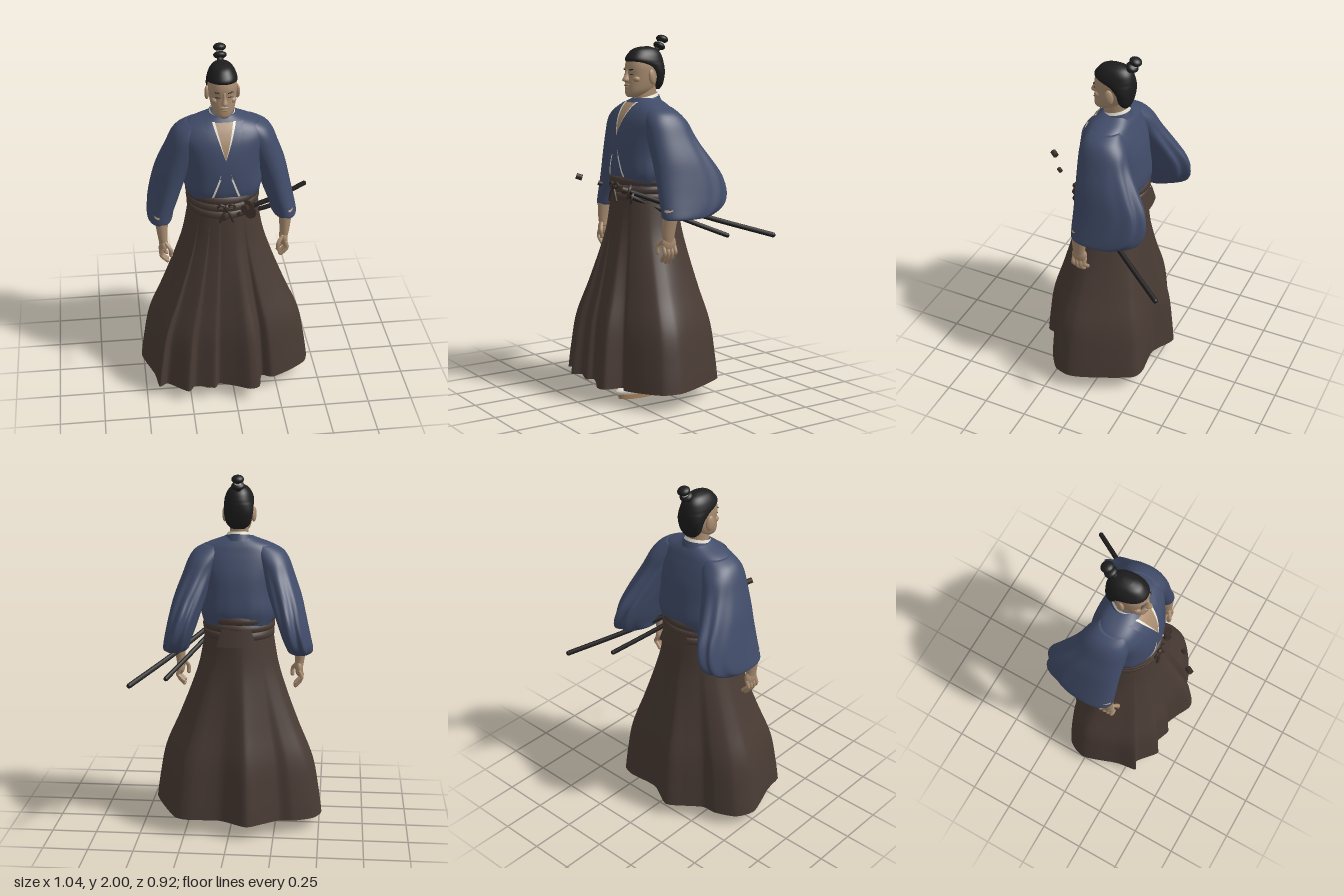
import * as THREE from 'three';
import { mergeVertices } from 'three/addons/utils/BufferGeometryUtils.js';

const CX = -0.035; // body centre line
const mat = (name, color, side = THREE.FrontSide) => {
  const m = new THREE.MeshStandardMaterial({ color, side });
  m.name = name;
  return m;
};

// Smooth surface from f(u, v) -> [x, y, z]; seams are welded
function grid(nu, nv, f) {
  const pos = [], idx = [], w = nu + 1;
  for (let j = 0; j <= nv; j++) for (let i = 0; i <= nu; i++) pos.push(...f(i / nu, j / nv));
  for (let j = 0; j < nv; j++) for (let i = 0; i < nu; i++) {
    const a = j * w + i;
    idx.push(a, a + w, a + 1, a + 1, a + w, a + w + 1);
  }
  let g = new THREE.BufferGeometry();
  g.setAttribute('position', new THREE.Float32BufferAttribute(pos, 3));
  g.setIndex(idx);
  g = mergeVertices(g, 1e-5);
  g.computeVertexNormals();
  return g;
}

// Piecewise Catmull-Rom through rows of numbers
function sample(rows, t) {
  const n = rows.length - 1, k = Math.min(Math.floor(t * n), n - 1), s = t * n - k;
  const at = (i) => rows[Math.max(0, Math.min(n, i))];
  return at(k).map((b, c) => {
    const a = at(k - 1)[c], d = at(k + 1)[c], e = at(k + 2)[c];
    return b + 0.5 * s * (d - a + s * (2 * a - 5 * b + 4 * d - e + s * (3 * (b - d) + e - a)));
  });
}

// Body from rings [y, xCentre, halfWidth, zFront, zBack], lowest first, ends closed
function loft(rings, { n = 2, nu = 40, sub = 4, ripple = null } = {}) {
  const rows = (rings.length - 1) * sub;
  return grid(nu, rows + 2, (u, v) => {
    const j = Math.round(v * (rows + 2)), end = j === 0 || j === rows + 2;
    const t = Math.max(0, Math.min(rows, j - 1)) / rows;
    const [y, xc, rx, zf, zb] = sample(rings, t);
    const a = (u === 1 ? 0 : u) * Math.PI * 2, c = Math.cos(a), s = Math.sin(a);
    const k = end ? 0 : ripple ? 1 + ripple(a, t) : 1;
    const pw = (q) => Math.sign(q) * Math.pow(Math.abs(q), 2 / n);
    return [xc + rx * k * pw(c), y, (zf + zb) / 2 + ((zf - zb) / 2) * k * pw(s)];
  });
}

const TORSO = [
  [1.16, CX, 0.18, 0.2, -0.135], [1.22, CX, 0.205, 0.215, -0.145], [1.27, CX, 0.212, 0.225, -0.15],
  [1.36, CX, 0.205, 0.225, -0.14], [1.45, CX, 0.215, 0.215, -0.125], [1.53, CX, 0.235, 0.195, -0.1],
  [1.58, CX, 0.225, 0.17, -0.08], [1.615, CX, 0.18, 0.145, -0.065], [1.645, CX, 0.1, 0.115, -0.045],
  [1.66, CX, 0.065, 0.1, -0.035],
];
const TORSO_N = 2.4;
function torsoZ(x, y) {
  let t = 0;
  while (t < 1 && sample(TORSO, t)[0] < y) t += 0.002;
  const [, xc, rx, zf, zb] = sample(TORSO, Math.min(t, 1));
  const q = Math.min(1, Math.abs((x - xc) / rx));
  return (zf + zb) / 2 + ((zf - zb) / 2) * Math.pow(1 - Math.pow(q, TORSO_N), 1 / TORSO_N);
}
// Strip laid on the chest between lower edge [y, x0, x1] and upper edge [y, x0, x1]
const drape = (lo, hi, off) => grid(8, 16, (u, v) => {
  const [y, a, b] = lo.map((q, i) => q + (hi[i] - q) * v);
  const x = CX + b + (a - b) * u;
  return [x, y, torsoZ(x, y) + off];
});

export function createModel() {
  const D = THREE.DoubleSide;
  const navy = mat('navy cloth', 0x414c69, D), brown = mat('brown cloth', 0x493b34, D);
  const dark = mat('dark brown cord', 0x3a2e28), skin = mat('skin', 0xa98c70, D);
  const white = mat('white cloth', 0xe4dfd2, D), hair = mat('black hair', 0x1d1d1e);
  const black = mat('black lacquer', 0x1f1c1d), straw = mat('straw', 0xa5835f);
  const model = new THREE.Group();
  const add = (name, geo, m, p = [0, 0, 0], s = [1, 1, 1], r = [0, 0, 0]) => {
    const mesh = new THREE.Mesh(geo, m);
    mesh.name = name;
    mesh.position.set(...p); mesh.scale.set(...s); mesh.rotation.set(...r);
    model.add(mesh);
    return mesh;
  };
  const ball = new THREE.SphereGeometry(1, 24, 16);
  const V = (p) => new THREE.Vector3(...p);
  const tube = (name, pts, r, m, sides = 8) => {
    add(name, new THREE.TubeGeometry(new THREE.CatmullRomCurve3(pts.map(V)), 20, r, sides), m);
    for (const p of [pts[0], pts[pts.length - 1]]) add(name + 'End', ball, m, p, [r, r, r]);
  };

  // Pleated skirt: the waist oval blends into an irregular hem
  const hem = new THREE.CatmullRomCurve3([
    [0.43, 0.04], [0.45, 0.12], [0.425, 0.21], [0.33, 0.28], [0.22, 0.33], [0.16, 0.305], [0.135, 0.405],
    [0.08, 0.42], [0, 0.38], [-0.09, 0.345], [-0.12, 0.38], [-0.225, 0.345], [-0.27, 0.39], [-0.38, 0.3],
    [-0.43, 0.32], [-0.45, 0.2], [-0.515, 0.0], [-0.47, -0.11], [-0.36, -0.17], [-0.28, -0.18], [-0.19, -0.25],
    [-0.1, -0.31], [0.05, -0.24], [0.22, -0.255], [0.3, -0.23], [0.37, -0.1],
  ].map(([x, z]) => new THREE.Vector3(x, 0, z)), true, 'catmullrom', 0.35);
  const flare = [[0.07, 1], [0.2, 0.94], [0.4, 0.81], [0.6, 0.53], [0.8, 0.27], [0.95, 0.11], [1.13, 0]];
  add('skirt', grid(156, 36, (u, v) => {
    const h = hem.getPoint(u === 1 ? 0 : u), [y, k] = sample(flare, v);
    const a = Math.atan2((h.z - 0.05) / 0.36, (h.x - CX) / 0.48);
    const x = CX + 0.19 * Math.cos(a), z = 0.045 + 0.18 * Math.sin(a);
    const lift = 0.03 * (h.x + 0.5) * (1 - v);
    return [x + (h.x - x) * k, y + lift, z + (h.z - z) * k];
  }), brown);

  // Waist sash, knot and back board
  for (let i = 0; i < 3; i++) {
    const y = 1.1 + i * 0.044, g = 0.003 * i;
    add('sashBand', loft([
      [y, CX, 0.185, 0.215, -0.14], [y + 0.008, CX, 0.197 + g, 0.23, -0.153],
      [y + 0.036, CX, 0.197 + g, 0.23, -0.153], [y + 0.046, CX, 0.185, 0.215, -0.14],
    ], { sub: 2, nu: 56 }), brown);
  }
  add('sashKnot', ball, dark, [CX, 1.175, 0.238], [0.018, 0.024, 0.014]);
  for (const s of [-1, 1]) {
    tube('knotLoop', [[CX, 1.18, 0.24], [CX + s * 0.03, 1.2, 0.24], [CX + s * 0.045, 1.18, 0.235], [CX, 1.17, 0.24]], 0.007, dark);
    tube('knotTail', [[CX, 1.17, 0.24], [CX + s * 0.02, 1.14, 0.246], [CX + s * 0.035, 1.1, 0.245]], 0.008, dark);
  }
  add('backBoard', grid(8, 2, (u, v) => {
    const x = (0.11 - 0.03 * v) * (2 * u - 1);
    return [CX + x, 1.07 + 0.1 * v, -0.172 + 0.02 * v + 1.2 * x * x];
  }), brown);

  // Jacket body, crossed front and collars
  add('jacket', loft(TORSO, {
    n: TORSO_N, nu: 64,
    ripple: (a, t) => (t < 0.5 ? 0.012 * Math.sin(a * 16) * (1 - 2 * t) : 0),
  }), navy);
  add('chest', drape([1.43, -0.002, 0.002], [1.635, -0.058, 0.058], 0.005), skin);
  for (const s of [-1, 1]) {
    const o = s > 0 ? 0.011 : 0.009;
    const edge = (a, b) => (s > 0 ? [a, b] : [-b, -a]);
    add('underCollar', drape([1.42, ...edge(-0.008, 0.006)], [1.638, ...edge(0.048, 0.064)], o - 0.002), white);
    add('lapel', drape([1.35, ...edge(-0.035, 0.02)], [1.635, ...edge(0.062, 0.105)], o), navy);
    add('underEdge', drape([1.235, ...edge(0.066, 0.078)], [1.42, ...edge(0.002, 0.011)], 0.007), white);
  }
  const collar = (name, m, r, y, h) => add(name, grid(32, 4, (u, v) => {
    const a = (u * 1.5 - 1.25) * Math.PI, back = (1 - Math.sin(a)) / 2;
    const k = r + 0.012 * (1 - v);
    return [CX + k * Math.cos(a), y + 0.035 * back + h * v, 0.037 + k * 1.12 * Math.sin(a)];
  }), m);
  collar('whiteCollar', white, 0.064, 1.625, 0.03);
  collar('navyCollar', navy, 0.073, 1.605, 0.036);

  // Sleeves, arms and hands
  for (const s of [-1, 1]) {
    const X = (d) => CX + s * d;
    const sleeve = [
      [1.025, 0.285, 0.41, 0.13, -0.12], [1.035, 0.275, 0.417, 0.14, -0.17], [1.08, 0.262, 0.41, 0.142, -0.245],
      [1.15, 0.235, 0.395, 0.142, -0.275], [1.24, 0.205, 0.375, 0.142, -0.262], [1.34, 0.17, 0.35, 0.145, -0.205],
      [1.45, 0.13, 0.31, 0.15, -0.14], [1.53, 0.1, 0.28, 0.15, -0.105], [1.58, 0.07, 0.246, 0.135, -0.07],
      [1.61, 0.06, 0.195, 0.115, -0.045],
    ].map(([y, i, o, f, b]) => [y, X((i + o) / 2), (o - i) / 2, f, b]);
    add('sleeve', loft(sleeve, {
      n: 2.2, nu: 64,
      ripple: (a, t) => 0.07 * Math.max(0, -Math.sin(a)) * Math.sin(a * 9 + t * 5) * Math.sin(Math.PI * Math.min(1, t * 1.3)),
    }), navy);
    add('forearm', loft([
      [0.9, X(0.335), 0.024, 0.135, 0.065], [0.95, X(0.34), 0.027, 0.14, 0.065], [1.08, X(0.345), 0.042, 0.14, 0.04],
    ], { nu: 20 }), skin);
    add('palm', ball, skin, [X(0.337), 0.895, 0.1], [0.023, 0.05, 0.045]);
    for (let i = 0; i < 4; i++) {
      const z = 0.065 + i * 0.023, l = i === 0 ? 0.02 : i === 3 ? 0.01 : 0;
      tube('finger', [[X(0.34), 0.88, z], [X(0.352), 0.845, z], [X(0.34), 0.815 + l, z], [X(0.318), 0.793 + l, z - 0.003]], 0.011, skin);
    }
    tube('thumb', [[X(0.325), 0.915, 0.13], [X(0.3), 0.88, 0.148], [X(0.298), 0.845, 0.145]], 0.011, skin);
  }

  // Neck and head
  add('neck', loft([[1.58, CX, 0.062, 0.115, -0.03], [1.65, CX, 0.052, 0.105, -0.025], [1.74, CX, 0.052, 0.1, -0.035]]), skin);
  add('head', loft([
    [1.665, CX, 0.025, 0.145, 0.08], [1.68, CX, 0.044, 0.155, 0.04], [1.705, CX, 0.059, 0.156, 0],
    [1.74, CX, 0.068, 0.154, -0.03], [1.78, CX, 0.074, 0.15, -0.05], [1.83, CX, 0.076, 0.153, -0.058],
    [1.88, CX, 0.068, 0.138, -0.05], [1.915, CX, 0.045, 0.11, -0.02], [1.928, CX, 0.012, 0.06, 0.02],
  ], { n: 2.3 }), skin);
  add('nose', loft([
    [1.747, CX, 0.013, 0.165, 0.13], [1.757, CX, 0.018, 0.181, 0.13], [1.785, CX, 0.01, 0.167, 0.13], [1.815, CX, 0.008, 0.156, 0.13],
  ], { nu: 16 }), skin);
  add('upperLip', ball, skin, [CX, 1.731, 0.153], [0.024, 0.006, 0.008]);
  add('lowerLip', ball, skin, [CX, 1.718, 0.152], [0.02, 0.007, 0.008]);
  add('mouthLine', ball, dark, [CX, 1.725, 0.156], [0.024, 0.0015, 0.004]);
  for (const s of [-1, 1]) {
    add('ear', ball, skin, [CX + s * 0.08, 1.775, 0.04], [0.013, 0.042, 0.024], [0.15, s * 0.3, 0]);
    add('eye', ball, dark, [CX + s * 0.033, 1.787, 0.144], [0.015, 0.003, 0.005], [0, s * 0.25, 0]);
    add('eyebrow', ball, hair, [CX + s * 0.034, 1.814, 0.147], [0.018, 0.0035, 0.005], [0, s * 0.25, s * 0.15]);
    add('cheekbone', ball, skin, [CX + s * 0.046, 1.762, 0.118], [0.02, 0.018, 0.022]);
  }

  // Hair and topknot
  add('hair', loft([
    [1.705, CX, 0.038, -0.005, -0.048], [1.735, CX, 0.066, 0.01, -0.06], [1.79, CX, 0.079, 0.03, -0.071],
    [1.83, CX, 0.081, 0.085, -0.073], [1.85, CX, 0.081, 0.135, -0.071], [1.87, CX, 0.078, 0.154, -0.067],
    [1.9, CX, 0.066, 0.136, -0.055], [1.925, CX, 0.045, 0.108, -0.03], [1.938, CX, 0.014, 0.06, 0.01],
  ], { n: 2.2 }), hair);
  tube('topknotStem', [[CX, 1.9, -0.02], [CX, 1.93, -0.05], [CX, 1.965, -0.075]], 0.017, hair);
  add('topknotBase', ball, hair, [CX, 1.94, -0.057], [0.036, 0.02, 0.034], [-0.5, 0, 0]);
  add('topknotTie', new THREE.CylinderGeometry(0.019, 0.019, 0.012, 20), white, [CX, 1.957, -0.068], [1, 1, 1], [-0.5, 0, 0]);
  add('topknotTop', ball, hair, [CX, 1.977, -0.076], [0.034, 0.022, 0.034], [-0.3, 0, 0]);

  // Two sheathed swords through the sash
  tube('longScabbard', [[0.085, 1.155, 0.2], [0.305, 1.025, -0.13], [0.51, 0.922, -0.445]], 0.014, black, 10);
  tube('shortScabbard', [[0.085, 1.13, 0.2], [0.22, 1.01, -0.04], [0.34, 0.912, -0.26]], 0.013, black, 10);
  const axis = V([0.58, -0.32, -0.895]).normalize();
  const fitting = (name, p, r, len, m) => add(name, new THREE.CylinderGeometry(r, r, len, 20), m, p)
    .quaternion.setFromUnitVectors(V([0, 1, 0]), axis);
  fitting('longGuard', [0.078, 1.158, 0.21], 0.042, 0.01, dark);
  fitting('longCollar', [0.066, 1.165, 0.23], 0.02, 0.03, dark);
  fitting('shortGuard', [0.1, 1.125, 0.205], 0.034, 0.01, dark);
  fitting('pommel', [-0.07, 1.24, 0.437], 0.016, 0.034, dark);
  fitting('gripOrnament', [0.02, 1.208, 0.358], 0.012, 0.024, dark);

  // Socks and sandals
  for (const x of [-0.143, 0.07]) {
    add('sock', loft([
      [0.024, x, 0.04, 0.285, 0.015], [0.045, x, 0.046, 0.295, 0.005], [0.07, x, 0.042, 0.25, 0.005],
      [0.1, x, 0.036, 0.14, 0.015], [0.15, x, 0.034, 0.11, 0.025], [0.21, x, 0.04, 0.115, 0.015],
    ]), white);
    add('sandalSole', new THREE.CylinderGeometry(1, 1, 0.026, 32), straw, [x, 0.013, 0.138], [0.054, 1, 0.138]);
    for (const s of [-1, 1]) {
      tube('sandalStrap', [[x, 0.066, 0.262], [x + s * 0.03, 0.07, 0.215], [x + s * 0.048, 0.045, 0.16], [x + s * 0.045, 0.025, 0.12]], 0.007, black);
    }
  }
  return model;
}
